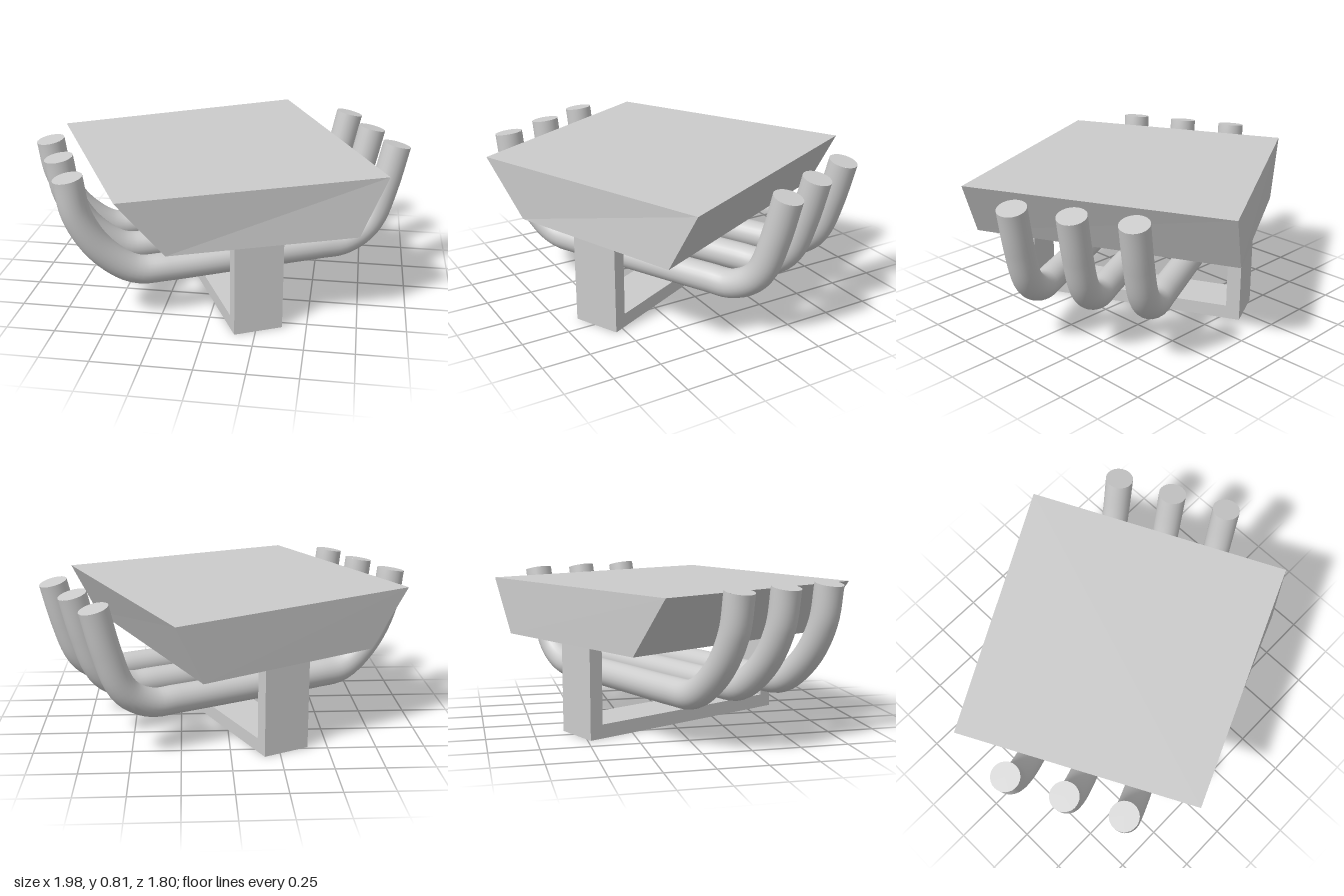
import * as THREE from 'three';

const material = new THREE.MeshStandardMaterial({ color: 0xcccccc });
const YAW = 0.447;

function addMesh(parent, name, geometry) {
  const mesh = new THREE.Mesh(geometry, material);
  mesh.name = name;
  parent.add(mesh);
  return mesh;
}

// Tapered block lofted between two uneven quads, given as [x, z]
function blockGeometry(bottom, yBottom, top, yTop) {
  const low = bottom.map(([x, z]) => [x, yBottom, z]);
  const high = top.map(([x, z]) => [x, yTop, z]);
  const positions = [];
  const quad = (a, b, c, d) => positions.push(...a, ...b, ...c, ...a, ...c, ...d);
  for (let i = 0; i < 4; i++) {
    const j = (i + 1) % 4;
    quad(low[i], low[j], high[j], high[i]);
  }
  quad(high[0], high[1], high[2], high[3]);
  quad(low[3], low[2], low[1], low[0]);
  const geometry = new THREE.BufferGeometry();
  geometry.setAttribute('position', new THREE.Float32BufferAttribute(positions, 3));
  geometry.computeVertexNormals();
  return geometry;
}

// Upright U-shaped stand: one base bar with a leg at each end
function standGeometry(length, height, thickness, width) {
  const h = length / 2, i = h - thickness;
  const shape = new THREE.Shape([
    [-h, 0], [h, 0], [h, height], [i, height],
    [i, thickness], [-i, thickness], [-i, height], [-h, height],
  ].map(([x, y]) => new THREE.Vector2(x, y)));
  const geometry = new THREE.ExtrudeGeometry(shape, { depth: width, bevelEnabled: false });
  return geometry.translate(0, 0, -width / 2).rotateY(-Math.PI / 2);
}

// Bent pipe with flat caps across both ends
function createPipe(radius) {
  const pipe = new THREE.Group();
  pipe.name = 'bentPipe';
  const path = [
    [-0.87, 0.795], [-0.837, 0.6], [-0.745, 0.425], [-0.615, 0.3], [-0.53, 0.262], [-0.4, 0.257],
    [0, 0.26], [0.45, 0.264], [0.58, 0.268], [0.69, 0.32], [0.753, 0.395], [0.815, 0.57], [0.87, 0.79],
  ];
  const curve = new THREE.CatmullRomCurve3(path.map(([x, y]) => new THREE.Vector3(x, y, 0)));
  addMesh(pipe, 'pipeBody', new THREE.TubeGeometry(curve, 72, radius, 24));
  for (const t of [0, 1]) {
    const cap = addMesh(pipe, 'pipeCap', new THREE.CircleGeometry(radius, 24));
    const outward = curve.getTangent(t).multiplyScalar(t ? 1 : -1);
    cap.position.copy(curve.getPoint(t));
    cap.quaternion.setFromUnitVectors(new THREE.Vector3(0, 0, 1), outward);
  }
  return pipe;
}

export function createModel() {
  const model = new THREE.Group();
  model.name = 'model';

  // Top block, its two pipe-side faces sloping inward toward the bottom
  addMesh(model, 'taperedBlock', blockGeometry(
    [[-0.16, 0.8], [0.74, 0.45], [0.14, -0.835], [-0.74, -0.335]], 0.48,
    [[-0.37, 0.9], [0.87, 0.375], [0.265, -0.905], [-0.94, -0.225]], 0.775,
  ));

  // Stand under the block
  const stand = addMesh(model, 'stand', standGeometry(1.265, 0.482, 0.073, 0.254));
  stand.position.set(-0.01, 0, 0.03);
  stand.rotation.y = YAW;

  // Three parallel pipes running across the stand
  const pipes = new THREE.Group();
  pipes.name = 'pipes';
  pipes.position.set(-0.003, 0, 0.018);
  pipes.rotation.y = YAW;
  for (const z of [-0.302, 0, 0.302]) {
    const pipe = createPipe(0.074);
    pipe.position.z = z;
    pipes.add(pipe);
  }
  model.add(pipes);

  return model;
}
